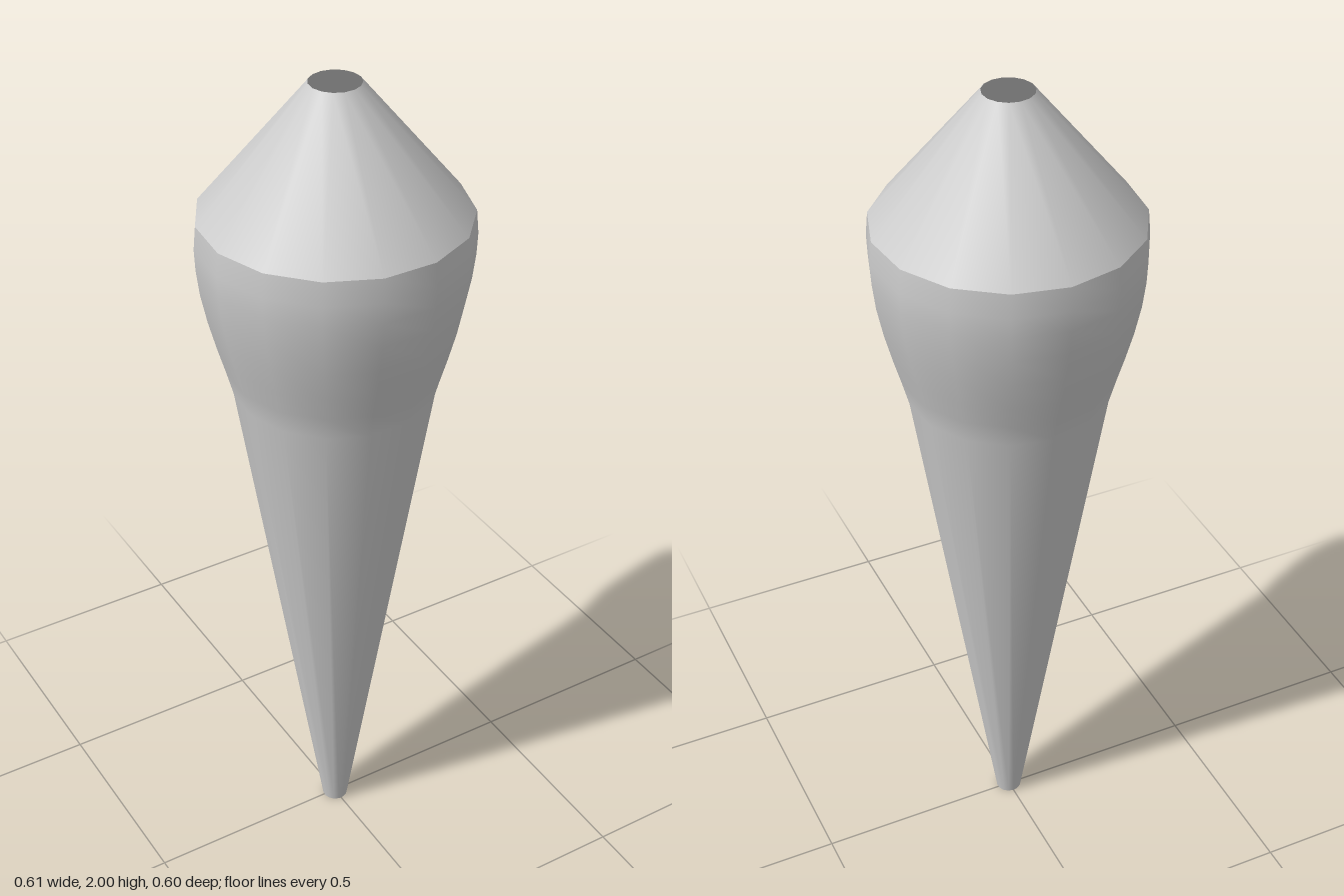
import * as THREE from 'three';

const SIDES = 15;

// Open thin shell of revolution; one corner of the polygon points to the back
function shell(name, profile, material) {
  const points = profile.map(([r, y]) => new THREE.Vector2(r, y));
  const mesh = new THREE.Mesh(new THREE.LatheGeometry(points, SIDES, Math.PI), material);
  mesh.name = name;
  return mesh;
}

export function createModel() {
  const group = new THREE.Group();
  group.name = 'taperedHandle';
  const material = new THREE.MeshStandardMaterial({ color: 0xcccccc, side: THREE.DoubleSide });

  // Long tapered body that swells into a rounded shoulder
  group.add(shell('body', [
    [0.031, 0], [0.231, 1.28], [0.247, 1.34], [0.264, 1.4], [0.282, 1.47],
    [0.296, 1.54], [0.303, 1.6], [0.305, 1.65], [0.3, 1.705],
  ], material));

  // Conical cap with an open top, creased where it meets the shoulder
  group.add(shell('cap', [[0.3, 1.705], [0.057, 2]], material));

  // An odd number of sides is deeper at the back, so shift to centre it
  group.children.forEach((m) => { m.position.z = 0.003; });
  return group;
}
